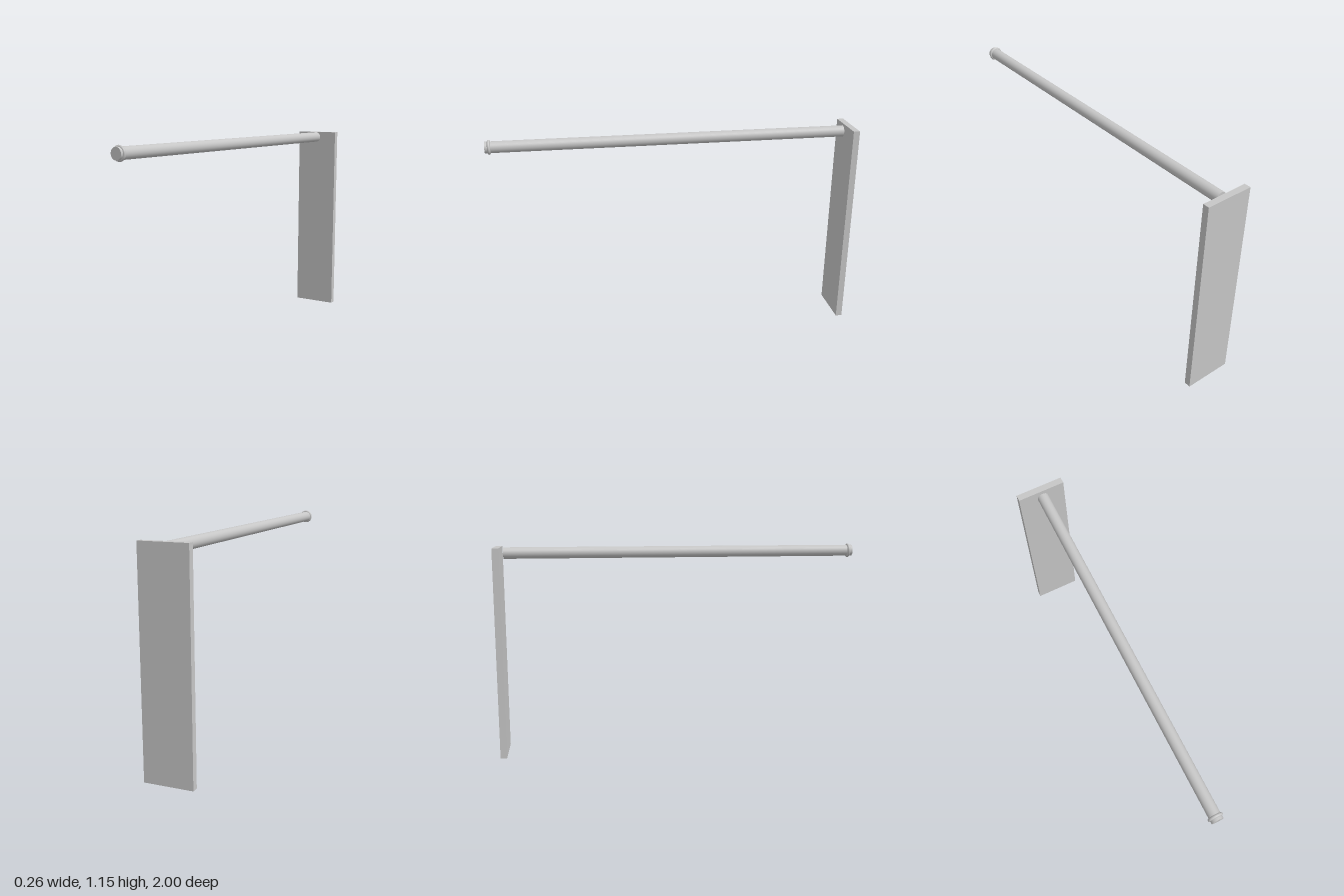
import * as THREE from 'three';

export function createModel() {
  const group = new THREE.Group();
  const grey = new THREE.MeshStandardMaterial({ color: 0xc6c6c6 });
  grey.name = 'light grey';

  const add = (name, geometry, y, z) => {
    const mesh = new THREE.Mesh(geometry, grey);
    mesh.name = name;
    mesh.position.set(0, y, z);
    group.add(mesh);
  };

  const rodY = 1.112;
  const rodBack = -0.95;
  const rodLength = 1 - rodBack;

  // Upright flat plate at the back
  add('backPlate', new THREE.BoxGeometry(0.26, 1.144, 0.035), 0.572, -0.9825);

  // Long horizontal rod, stopping just short of the plate
  const rod = new THREE.CylinderGeometry(0.031, 0.031, rodLength, 32).rotateX(Math.PI / 2);
  add('rod', rod, rodY, rodBack + rodLength / 2);

  // Raised ring near the front tip
  add('tipRing', new THREE.TorusGeometry(0.031, 0.008, 12, 40), rodY, 0.978);

  return group;
}
